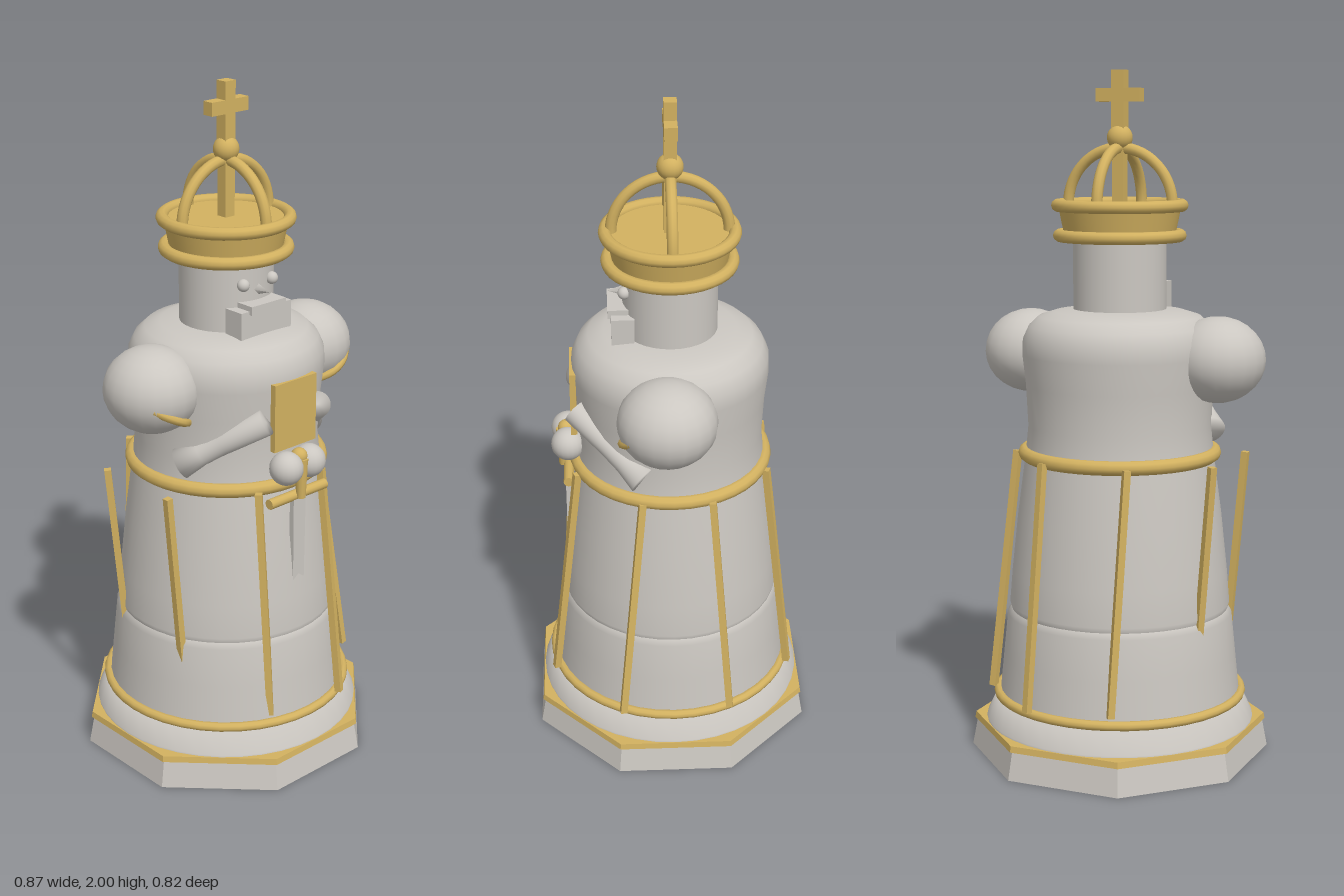
import * as THREE from 'three';

const stone = new THREE.MeshStandardMaterial({ color: 0xcbc7c1 });
stone.name = 'stone grey';
const gold = new THREE.MeshStandardMaterial({ color: 0xd2b160 });
gold.name = 'gold';

export function createModel() {
  const root = new THREE.Group();
  root.name = 'chessKing';

  const add = (name, geo, mat, x = 0, y = 0, z = 0) => {
    const m = new THREE.Mesh(geo, mat);
    m.name = name;
    m.position.set(x, y, z);
    root.add(m);
    return m;
  };
  const box = (name, mat, w, h, d, x, y, z) => add(name, new THREE.BoxGeometry(w, h, d), mat, x, y, z);
  const ball = (name, mat, r, x, y, z) => add(name, new THREE.SphereGeometry(r, 20, 14), mat, x, y, z);
  const lathe = (name, mat, pts) =>
    add(name, new THREE.LatheGeometry(pts.map(([r, y]) => new THREE.Vector2(r, y)), 40), mat);
  const ring = (name, r, tube, y) => {
    const m = add(name, new THREE.TorusGeometry(r, tube, 10, 40), gold, 0, y, 0);
    m.rotation.x = Math.PI / 2;
    return m;
  };
  // Eight-sided slab with flat faces and sides square to the axes
  const octagon = (name, mat, rTop, rBottom, y0, y1) => {
    const k = 1 / Math.cos(Math.PI / 8);
    const g = new THREE.CylinderGeometry(rTop * k, rBottom * k, y1 - y0, 8, 1, false, Math.PI / 8).toNonIndexed();
    g.computeVertexNormals();
    return add(name, g, mat, 0, (y0 + y1) / 2, 0);
  };
  // Lay a mesh whose length is along y between two points
  const between = (mesh, a, b) => {
    const p = new THREE.Vector3(...a), q = new THREE.Vector3(...b);
    mesh.position.copy(p).add(q).multiplyScalar(0.5);
    mesh.quaternion.setFromUnitVectors(new THREE.Vector3(0, 1, 0), q.sub(p).normalize());
    return mesh;
  };
  const length = (a, b) => new THREE.Vector3(...a).distanceTo(new THREE.Vector3(...b));

  // Stepped base
  octagon('base', stone, 0.395, 0.41, 0, 0.085);
  octagon('baseTrim', gold, 0.4, 0.403, 0.082, 0.1);
  lathe('plinth', stone, [[0.398, 0.095], [0.398, 0.105], [0.362, 0.18], [0, 0.18]]);
  ring('lowerRing', 0.362, 0.014, 0.18);

  // Robe with a shallow groove, then the chest
  lathe('robeLower', stone, [[0.357, 0.18], [0.345, 0.3], [0.333, 0.42], [0.322, 0.437]]);
  lathe('robeUpper', stone, [[0.322, 0.437], [0.326, 0.452], [0.318, 0.55], [0.3, 0.72], [0.276, 0.9]]);
  lathe('chest', stone, [[0.276, 0.9], [0.268, 0.98], [0.274, 1.1], [0.284, 1.19], [0.282, 1.235],
    [0.265, 1.272], [0.235, 1.3], [0.19, 1.314], [0.12, 1.322], [0, 1.322]]);
  ring('waistRing', 0.277, 0.021, 0.9);

  // Gold ribs on the robe; those on one side lean the other way
  const ribs = [
    [[0.12, 0.9, 0.275], [0.135, 0.19, 0.357]],
    [[0.12, 0.9, -0.275], [0.135, 0.19, -0.357]],
    [[0.28, 0.9, 0.09], [0.355, 0.19, 0.155]],
    [[0.28, 0.9, -0.11], [0.34, 0.19, -0.165]],
    [[-0.135, 0.9, 0.283], [-0.12, 0.2, 0.325]],
    [[-0.14, 0.9, -0.278], [-0.115, 0.2, -0.335]],
    [[-0.343, 0.9, 0.135], [-0.28, 0.2, 0.135]],
    [[-0.34, 0.9, -0.135], [-0.28, 0.2, -0.115]],
  ];
  for (const [a, b] of ribs) {
    between(box('robeRib', gold, 0.02, length(a, b), 0.02, 0, 0, 0), a, b);
  }

  // Arms
  for (const s of [1, -1]) {
    ball('puffSleeve', stone, 1, s * 0.297, 1.183, 0.02).scale.set(0.137, 0.124, 0.14);
    const cuff = new THREE.CatmullRomCurve3([[0.375, 1.165, 0.118], [0.335, 1.14, 0.142],
      [0.29, 1.117, 0.143], [0.24, 1.093, 0.108]].map(([x, y, z]) => new THREE.Vector3(s * x, y, z)));
    add('sleeveTrim', new THREE.TubeGeometry(cuff, 12, 0.012, 8), gold);
    const elbow = [s * 0.25, 0.965, 0.085], wrist = [s * 0.1, 1.105, 0.275];
    const l = length(elbow, wrist) / 2;
    const profile = [[0, -l], [0.046, -l], [0.036, -l * 0.5], [0.034, 0], [0.038, l], [0, l]];
    between(lathe('forearm', stone, profile), elbow, wrist);
    ball('hand', stone, 0.049, s * 0.044, 0.957, 0.3);
  }

  // Breast plate and sword
  box('breastPlate', gold, 0.16, 0.2, 0.018, 0, 1.11, 0.28);
  ball('pommel', gold, 0.024, 0, 0.985, 0.305);
  add('swordGrip', new THREE.CylinderGeometry(0.02, 0.014, 0.12, 12), gold, 0, 0.92, 0.315);
  const guard = add('swordGuard', new THREE.CylinderGeometry(0.015, 0.015, 0.22, 12), gold, 0, 0.865, 0.3);
  guard.rotation.z = Math.PI / 2;
  const blade = new THREE.Shape();
  blade.moveTo(-0.024, 0.865);
  blade.lineTo(-0.02, 0.42);
  blade.lineTo(0, 0.345);
  blade.lineTo(0.02, 0.42);
  blade.lineTo(0.024, 0.865);
  add('swordBlade', new THREE.ExtrudeGeometry(blade, { depth: 0.016, bevelEnabled: false }), stone, 0, 0, 0.295);

  // Head and face
  add('head', new THREE.CylinderGeometry(0.135, 0.135, 0.25, 32), stone, 0, 1.42, 0);
  box('beard', stone, 0.19, 0.085, 0.065, 0, 1.35, 0.135);
  box('moustache', stone, 0.13, 0.025, 0.06, 0, 1.395, 0.147);
  for (const s of [1, -1]) ball('eye', stone, 0.018, s * 0.054, 1.457, 0.13);
  const nose = add('nose', new THREE.ConeGeometry(0.018, 0.05, 4), stone, 0, 1.437, 0.152);
  nose.rotation.x = Math.PI / 2;

  // Crown
  add('crownBand', new THREE.CylinderGeometry(0.178, 0.16, 0.09, 40), gold, 0, 1.575, 0);
  ring('crownLowerRing', 0.175, 0.018, 1.532);
  ring('crownUpperRing', 0.18, 0.018, 1.618);
  for (const turn of [0, Math.PI / 2]) {
    const arch = add('crownArch', new THREE.TorusGeometry(0.163, 0.016, 10, 28, Math.PI), gold, 0, 1.618, 0);
    arch.rotation.y = turn;
  }
  box('crownPost', gold, 0.034, 0.19, 0.034, 0, 1.7, 0);
  ball('crownOrb', gold, 0.037, 0, 1.81, 0);
  box('crossUpright', gold, 0.038, 0.18, 0.036, 0, 1.91, 0);
  box('crossBar', gold, 0.135, 0.038, 0.036, 0, 1.93, 0);

  return root;
}
